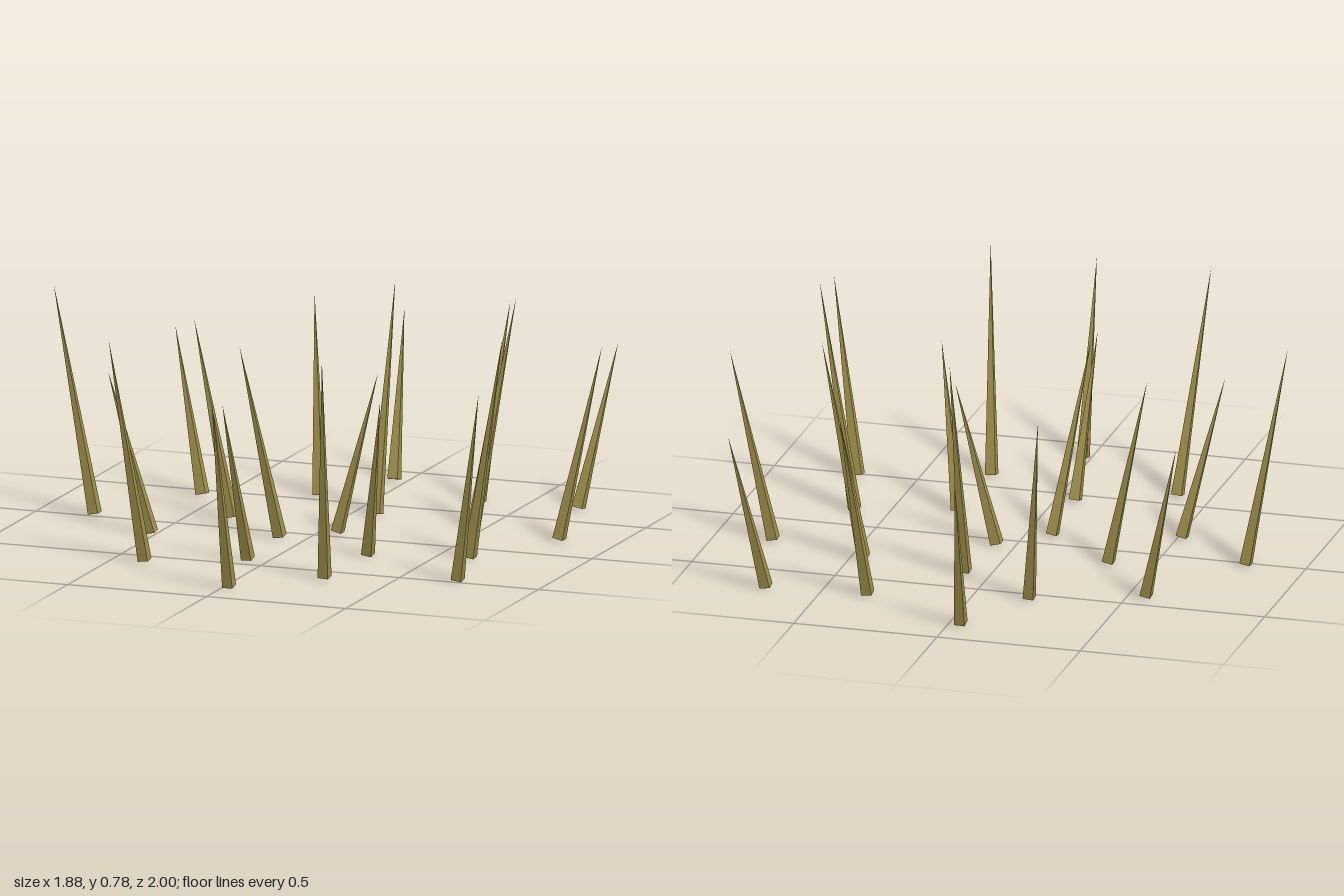
import * as THREE from 'three';

const BLADES = 20;
const GOLDEN_ANGLE = THREE.MathUtils.degToRad(137.5);
const SPACING = 0.2085;            // spiral radius per square root of the index
const LEAN = 0.145;                // outward reach of every tip
const HEIGHTS = [0.555, 0.665, 0.776];
const HALF_WIDTH = 0.0182;

// Square spike standing on its base, sides aligned with x and z
function spikeGeometry(length) {
  const g = new THREE.ConeGeometry(HALF_WIDTH * Math.SQRT2, length, 4);
  g.rotateY(Math.PI / 4);
  g.translate(0, length / 2, 0);
  return g;
}

export function createModel() {
  const group = new THREE.Group();
  group.name = 'grassTuft';
  const dryGrass = new THREE.MeshStandardMaterial({ color: 0xa0924c, flatShading: true });
  dryGrass.name = 'dryGrass';

  const lengths = HEIGHTS.map((h) => Math.hypot(h, LEAN));
  const geometries = lengths.map(spikeGeometry);
  const up = new THREE.Vector3(0, 1, 0);

  // Blades on a sunflower spiral, each leaning outward
  for (let i = 0; i < BLADES; i++) {
    const angle = i * GOLDEN_ANGLE;
    const radius = SPACING * Math.sqrt(i);
    const c = Math.cos(angle), s = Math.sin(angle);
    const blade = new THREE.Mesh(geometries[i % 3], dryGrass);
    blade.name = `blade${i + 1}`;
    blade.position.set(0.063 + radius * c, 0.006, -0.056 + radius * s);
    const direction = new THREE.Vector3(LEAN * c, HEIGHTS[i % 3], LEAN * s).normalize();
    blade.quaternion.setFromUnitVectors(up, direction);
    group.add(blade);
  }
  return group;
}
